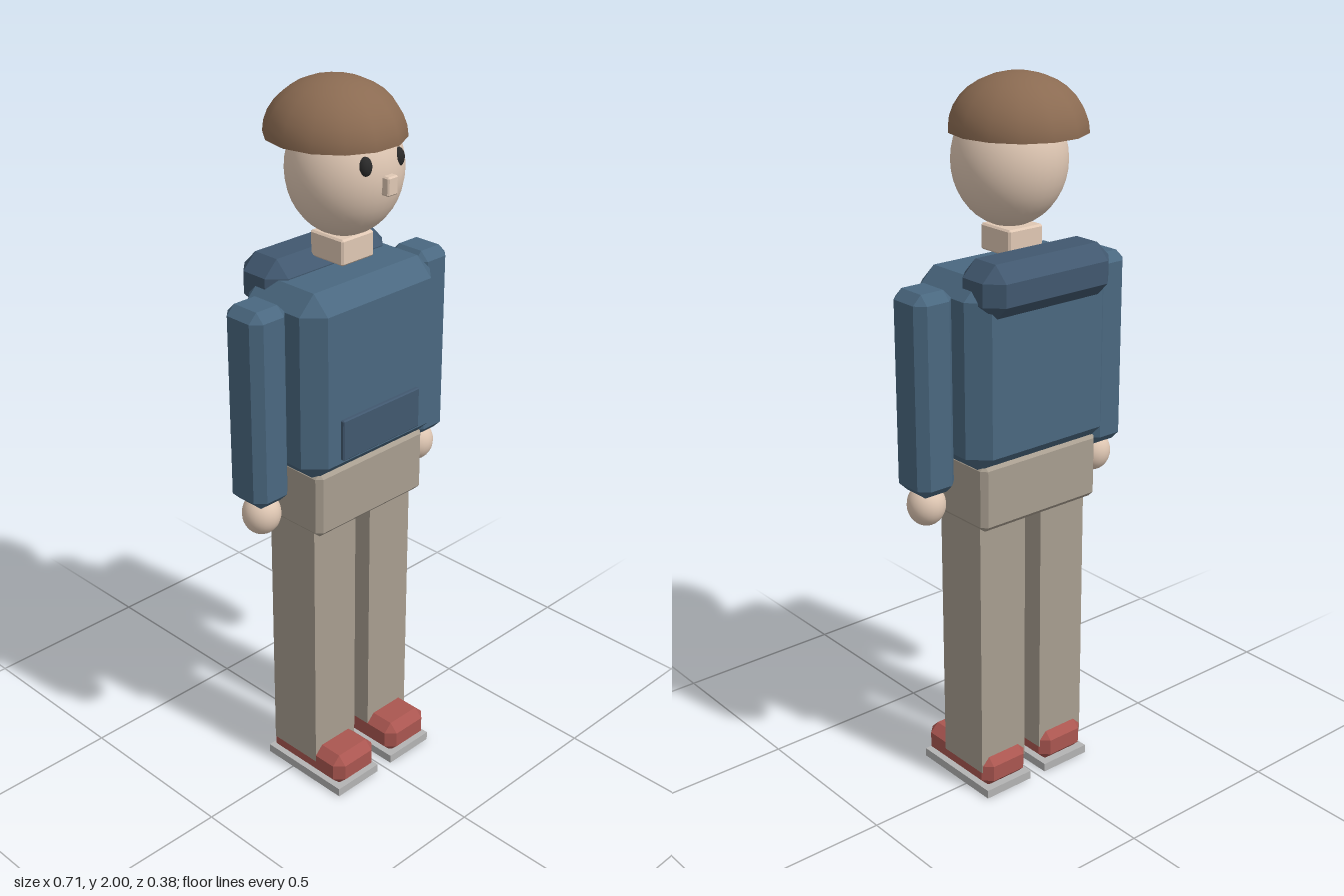
import * as THREE from 'three';
import { ConvexGeometry } from 'three/addons/geometries/ConvexGeometry.js';

const mat = (color, side = THREE.FrontSide) => new THREE.MeshStandardMaterial({ color, side });
const skin = mat(0xe0c8b4), jacket = mat(0x4a6880), trim = mat(0x41586f), cloth = mat(0xa89e90);
const shoeRed = mat(0xaa5650), soleGrey = mat(0xb4b4b4), black = mat(0x2a2a2a);
const hairBrown = mat(0x8b6b52, THREE.DoubleSide);

// Box between two corners with every edge cut at 45 degrees by c
function chamferBox([x0, y0, z0], [x1, y1, z1], c) {
  const half = new THREE.Vector3(x1 - x0, y1 - y0, z1 - z0).multiplyScalar(0.5);
  const points = [];
  for (const sx of [-1, 1]) for (const sy of [-1, 1]) for (const sz of [-1, 1]) {
    for (const axis of ['x', 'y', 'z']) {
      const p = half.clone().subScalar(c);
      p[axis] += c;
      points.push(p.multiply(new THREE.Vector3(sx, sy, sz)));
    }
  }
  return new ConvexGeometry(points).translate((x0 + x1) / 2, (y0 + y1) / 2, (z0 + z1) / 2);
}

function boxBetween([x0, y0, z0], [x1, y1, z1]) {
  return new THREE.BoxGeometry(x1 - x0, y1 - y0, z1 - z0)
    .translate((x0 + x1) / 2, (y0 + y1) / 2, (z0 + z1) / 2);
}

function ellipsoid(center, radii, w = 24, h = 16) {
  return new THREE.SphereGeometry(1, w, h).scale(...radii).translate(...center);
}

export function createModel() {
  const model = new THREE.Group();
  model.name = 'figure';
  const add = (name, geometry, material) => {
    const mesh = new THREE.Mesh(geometry, material);
    mesh.name = name;
    model.add(mesh);
  };

  // Trunk and clothing
  add('hips', chamferBox([-0.2, 0.83, -0.11], [0.2, 1.02, 0.132], 0.015), cloth);
  add('torso', chamferBox([-0.237, 0.995, -0.132], [0.237, 1.515, 0.153], 0.05), jacket);
  add('hood', chamferBox([-0.212, 1.415, -0.168], [0.212, 1.56, -0.005], 0.042), trim);
  add('pocket', chamferBox([-0.142, 1.055, 0.13], [0.142, 1.17, 0.164], 0.003), trim);

  // Limbs, one set per side
  for (const [side, s] of [['left', 1], ['right', -1]]) {
    const span = (a, b) => (s > 0 ? [a, b] : [-b, -a]);
    const [l0, l1] = span(0.028, 0.184);
    const [a0, a1] = span(0.236, 0.355);
    add(side + 'Leg', boxBetween([l0, 0.07, -0.073], [l1, 0.85, 0.095]), cloth);
    add(side + 'Shoe', chamferBox([l0, 0.02, -0.095], [l1, 0.116, 0.189], 0.025), shoeRed);
    add(side + 'Sole', boxBetween([l0 - 0.001, 0, -0.099], [l1 + 0.001, 0.025, 0.19]), soleGrey);
    add(side + 'Arm', chamferBox([a0, 0.945, -0.055], [a1, 1.492, 0.075], 0.025), jacket);
    add(side + 'Hand', ellipsoid([s * 0.295, 0.905, 0.013], [0.052, 0.058, 0.052]), skin);
    add(side + 'Eye', ellipsoid([s * 0.057, 1.817, 0.148], [0.018, 0.026, 0.018], 16, 12), black);
  }

  // Head
  add('neck', chamferBox([-0.057, 1.54, -0.044], [0.057, 1.61, 0.073], 0.005), skin);
  add('head', ellipsoid([0, 1.777, 0.023], [0.153, 0.173, 0.149], 32, 20), skin);
  add('nose', chamferBox([-0.018, 1.741, 0.155], [0.018, 1.79, 0.19], 0.004), skin);

  // Domed hair, open underneath
  const dome = new THREE.SphereGeometry(1, 14, 8, 0, Math.PI * 2, 0, Math.PI / 2)
    .scale(0.177, 0.146, 0.186).translate(0, 1.854, -0.011);
  add('hair', dome, hairBrown);

  return model;
}
